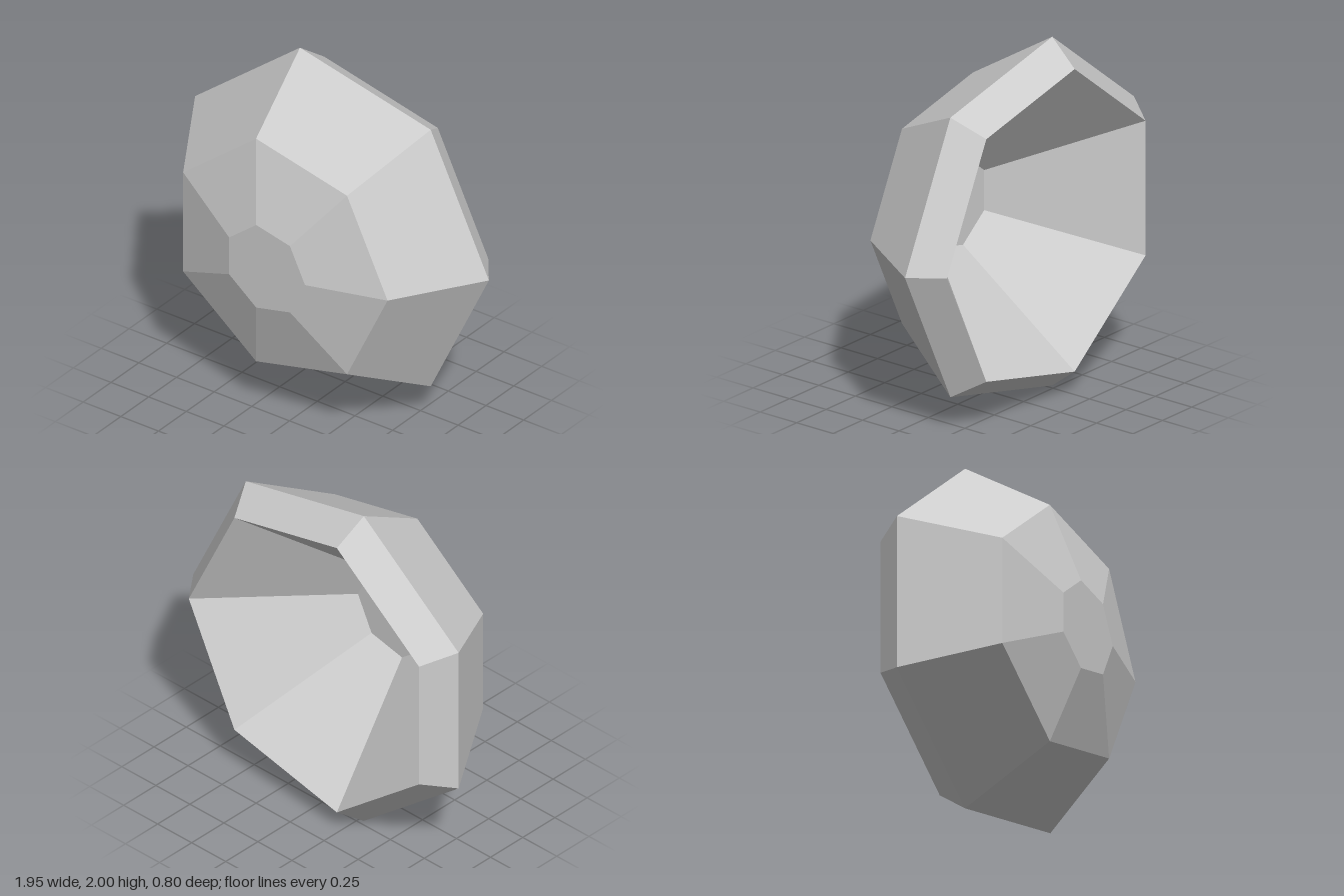
import * as THREE from 'three';

const SIDES = 7;

// Seven-sided faceted surface turned about the z axis; profile is [radius, z] pairs
function facetedTurn(name, profile, material) {
  const points = profile.map(([r, z]) => new THREE.Vector2(r, z));
  const lathe = new THREE.LatheGeometry(points, SIDES, Math.PI / 2);
  lathe.rotateX(Math.PI / 2);
  const geometry = lathe.toNonIndexed();
  geometry.computeVertexNormals(); // one normal per facet
  const mesh = new THREE.Mesh(geometry, material);
  mesh.name = name;
  return mesh;
}

export function createModel() {
  const group = new THREE.Group();
  group.name = 'facetedBowl';
  const grey = new THREE.MeshStandardMaterial({ color: 0xcccccc });
  grey.name = 'light grey';

  // Outer shell: bevelled back edge, wide girdle, shallow crown and flat front
  const shell = facetedTurn('outerShell', [
    [0.89, -0.4], [1.026, -0.222], [0.714, 0.266], [0.265, 0.4], [0, 0.4],
  ], grey);

  // Hollow back: sloping walls down to a small flat floor
  const hollow = facetedTurn('innerHollow', [
    [0, 0.253], [0.265, 0.253], [0.89, -0.4],
  ], grey);

  group.add(shell, hollow);
  for (const part of group.children) part.position.set(-0.051, 1, 0);
  return group;
}
